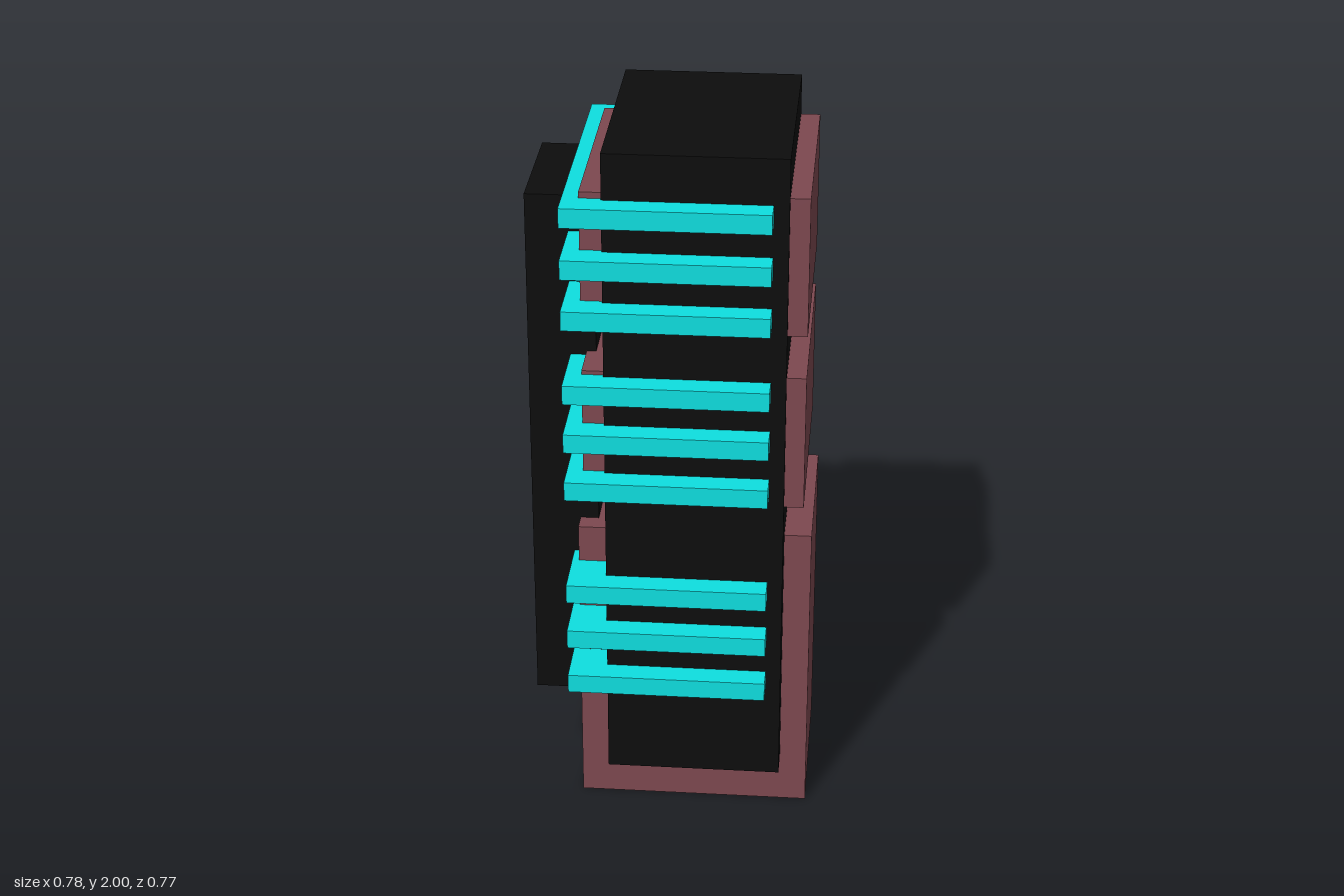
import * as THREE from 'three';

const mat = (color) => new THREE.MeshStandardMaterial({ color });

export function createModel() {
  const model = new THREE.Group();
  model.name = 'bandedTower';
  const black = mat(0x0d0d0d), maroon = mat(0x7d4850), cyan = mat(0x0edfe0);

  // Box given by its extents in x and y, and its half depth in z
  const block = (name, material, x0, x1, y0, y1, halfZ) => {
    const mesh = new THREE.Mesh(new THREE.BoxGeometry(x1 - x0, y1 - y0, halfZ * 2), material);
    mesh.position.set((x0 + x1) / 2, (y0 + y1) / 2, 0);
    mesh.name = name;
    model.add(mesh);
  };

  // Main column and the slab along its side
  block('core', black, -0.172, 0.313, 0.14, 2, 0.32);
  block('sideSlab', black, -0.39, -0.205, 0.312, 1.83, 0.187);

  // Base and the two blocks that stick out as side panels
  block('base', maroon, -0.256, 0.388, 0, 0.87, 0.242);
  block('middlePanels', maroon, -0.231, 0.366, 0.995, 1.382, 0.31);
  block('upperPanels', maroon, -0.231, 0.366, 1.503, 1.89, 0.31);

  // Three groups of three bands
  [0.593, 1.2, 1.702].forEach((middle) => {
    for (let i = -1; i <= 1; i++) {
      const y = middle + i * 0.144;
      block('band', cyan, -0.275, 0.272, y - 0.027, y + 0.027, 0.386);
    }
  });

  return model;
}
